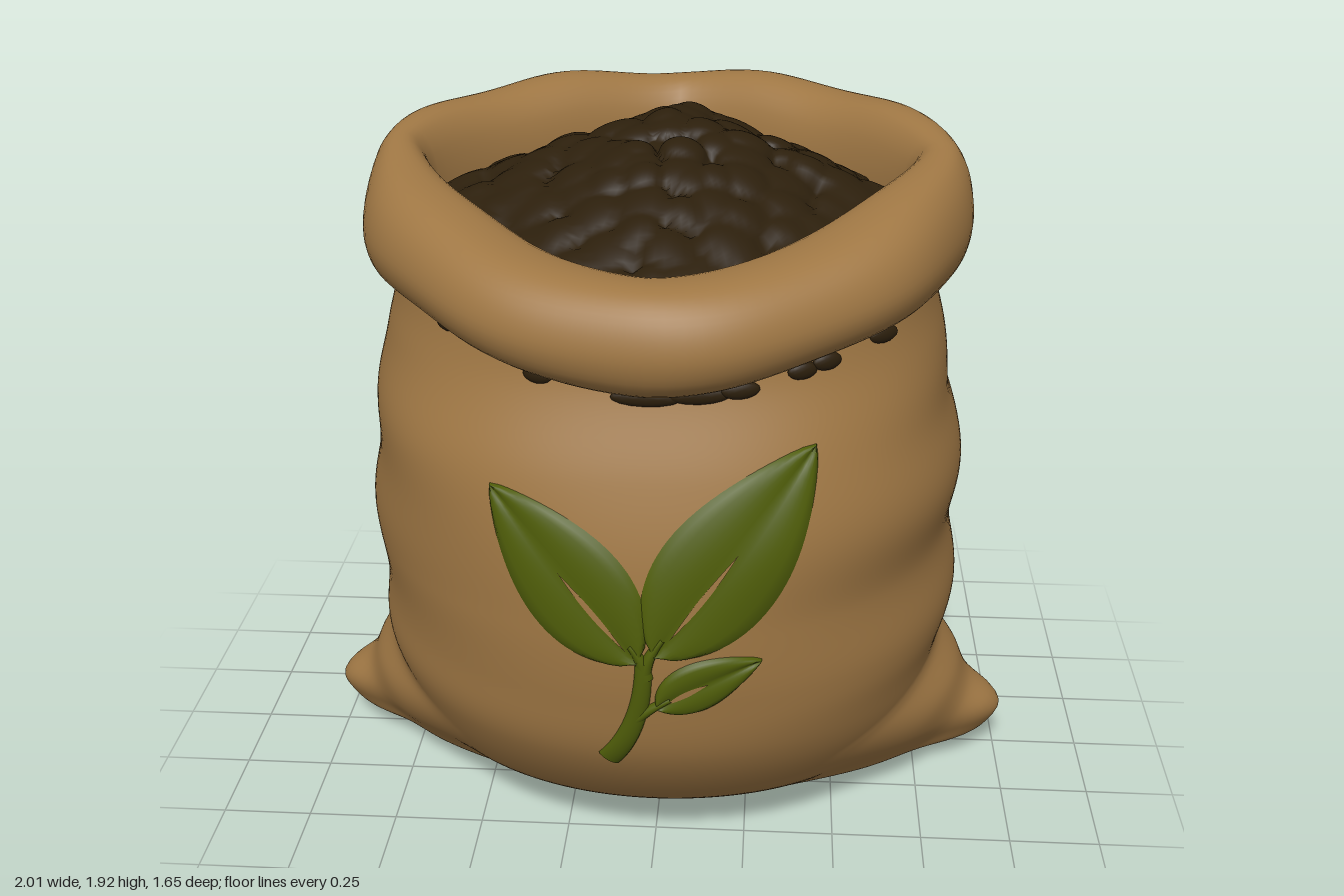
import * as THREE from 'three';

const TAU = Math.PI * 2;
const { smoothstep, lerp } = THREE.MathUtils;
const material = (name, color, side = THREE.FrontSide) => {
  const m = new THREE.MeshStandardMaterial({ color, side });
  m.name = name;
  return m;
};

// Smooth surface from a rule fn(u, v) -> [x, y, z]; wrapped directions share their seam.
function surface(fn, nu, nv, wrapU = true, wrapV = false) {
  const cols = wrapU ? nu : nu + 1, rows = wrapV ? nv : nv + 1;
  const pos = [], index = [];
  for (let j = 0; j < rows; j++)
    for (let i = 0; i < cols; i++) pos.push(...fn(i / nu, j / nv));
  for (let j = 0; j < nv; j++)
    for (let i = 0; i < nu; i++) {
      const i2 = (i + 1) % cols, j2 = (j + 1) % rows;
      const a = j * cols + i, b = j * cols + i2, c = j2 * cols + i2, d = j2 * cols + i;
      index.push(a, b, c, a, c, d);
    }
  const g = new THREE.BufferGeometry();
  g.setAttribute('position', new THREE.Float32BufferAttribute(pos, 3));
  g.setIndex(index);
  g.computeVertexNormals();
  return g;
}

// Smooth interpolation of a table row [key, value, value...]
function sample(table, key, col) {
  let k = 0;
  while (k < table.length - 2 && key > table[k + 1][0]) k++;
  const slope = i => {
    const a = table[Math.max(i - 1, 0)], b = table[Math.min(i + 1, table.length - 1)];
    return (b[col] - a[col]) / (b[0] - a[0]);
  };
  const p = table[k], q = table[k + 1], h = q[0] - p[0], t = (key - p[0]) / h;
  const t2 = t * t, t3 = t2 * t;
  return p[col] * (2 * t3 - 3 * t2 + 1) + slope(k) * h * (t3 - 2 * t2 + t)
    + q[col] * (3 * t2 - 2 * t3) + slope(k + 1) * h * (t3 - t2);
}

// Sack half-widths: height, x, z
const PROFILE = [
  [0, .5, .27], [.03, .6, .38], [.1, .67, .5], [.2, .73, .62], [.4, .8, .755], [.6, .825, .8],
  [.8, .825, .81], [1, .82, .79], [1.2, .795, .735], [1.4, .76, .655], [1.5, .735, .635], [1.6, .72, .63],
];
// Pulled-out bottom corner: distance from its tip, share of its length
const CORNER = [[0, 1], [.1, .97], [.23, .81], [.4, .51], [.67, .27], [.9, .05], [1, 0]];

// Point on the cloth at an angle from the front, with folds on the flanks and the two corners
function cloth(angle, y) {
  const s = Math.sin(angle), c = Math.cos(angle);
  const n = 2 + .4 * smoothstep(y, .8, 1.2);
  const fade = smoothstep(y, .3, .55) * (1 - smoothstep(y, 1.15, 1.45));
  const wave = Math.sin(15 * y + .9 * c + (s > 0 ? -1.6 : .94));
  const k = (Math.abs(s) ** n + Math.abs(c) ** n) ** (-1 / n) * (1 + .016 * s * s * fade * wave);
  const z = sample(PROFILE, y, 2) * k * c;
  const rise = y - .13, dy = rise > 0 ? rise / .32 : (-rise / .13) ** 3;
  const reach = .36 + .22 * smoothstep(y, .08, .33);
  const d = Math.min(1, Math.hypot((z - (s > 0 ? .02 : -.03)) / reach, dy));
  const pull = .305 * sample(CORNER, d, 1) * smoothstep(Math.abs(s), 0, .6);
  return [sample(PROFILE, y, 1) * k * s + Math.sign(s) * pull, y, z];
}

// Point on the front (side 1) or back (side -1) cloth at x, y, raised by lift
function onCloth(x, y, side, lift) {
  const at = a => cloth(side > 0 ? a : Math.PI - a, y);
  let lo = -Math.PI / 2, hi = Math.PI / 2;
  for (let i = 0; i < 24; i++) {
    const mid = (lo + hi) / 2;
    if (at(mid)[0] < x) lo = mid; else hi = mid;
  }
  return [x, y, at(lo)[2] + side * lift];
}

// Raised ribbon that follows a flat curve over the cloth
function ribbon(curve, width, lift, side, from = 0, to = 1) {
  return surface((u, v) => {
    const t = from + (to - from) * u, w = (2 * v - 1) * side;
    const p = curve.getPoint(t), d = curve.getTangent(t), r = width(u) * w;
    return onCloth(p.x - d.y * r, p.y + d.x * r, side, lift(Math.abs(w)));
  }, 28, 14, false);
}

// Cross-section of the rolled rim: fraction from inside to outside, fraction of height
const RIM = new THREE.CatmullRomCurve3([
  [.3, .08], [.5, 0], [.74, .06], [.92, .2], [1, .42], [.97, .64], [.87, .83], [.71, .96],
  [.5, 1], [.26, .96], [.08, .8], [0, .5], [.06, .2],
].map(([x, y]) => new THREE.Vector3(x, y, 0)), true);

// Diamond-like mouth radius
function mouth(angle) {
  const s = Math.abs(Math.sin(angle)) / .64, c = Math.abs(Math.cos(angle)) / .565, n = 1.33;
  return (s ** n + c ** n) ** (-1 / n);
}

function rimPoint(u, v) {
  const a = u * TAU, c = Math.cos(a), s = Math.sin(a), p = RIM.getPoint(v);
  const top = 1.855 - .095 * c - .055 * c * c + .012 * Math.sin(7 * a + 1) * (1 - c) / 2 + .015 * s * s;
  const bottom = 1.515 - .095 * Math.max(0, c) ** 4 + .008 * Math.sin(5 * a) * s * s;
  const outer = .808 + .008 * Math.cos(4 * a) + .006 * Math.sin(9 * a);
  const r = lerp(mouth(a), outer, p.x);
  return [r * s, bottom + (top - bottom) * p.y, r * c - .02 * (1 - p.x)];
}

// Rounded clods scattered on a jittered grid
const hash = (i, j, k) => {
  const n = Math.sin(i * 127.1 + j * 311.7 + k * 74.7) * 43758.5453;
  return n - Math.floor(n);
};
function clods(x, z) {
  const cell = .1, ci = Math.floor(x / cell), cj = Math.floor(z / cell);
  let h = 0;
  for (let i = ci - 1; i <= ci + 1; i++)
    for (let j = cj - 1; j <= cj + 1; j++) {
      const d = Math.hypot(x - (i + hash(i, j, 1)) * cell, z - (j + hash(i, j, 2)) * cell);
      const r = .065 + .03 * hash(i, j, 3);
      h = Math.max(h, (.6 + .4 * hash(i, j, 4)) * Math.sqrt(Math.max(0, 1 - (d / r) ** 2)));
    }
  return .045 * h;
}
function soilPoint(u, v) {
  const a = u * TAU, r = 1 - v, R = mouth(a) * 1.1 * r;
  const x = R * Math.sin(a), z = R * Math.cos(a) - .02;
  const peak = .045 * Math.exp(-((x - .04) ** 2 + (z + .24) ** 2) / .025);
  return [x, 1.65 - .05 * z + .215 * (1 - r ** 1.6) + peak + clods(x, z), z];
}

export function createModel() {
  const group = new THREE.Group();
  const burlap = material('burlap', 0x9f7744);
  const soil = material('soil', 0x2c1f0c);
  const leafGreen = material('leafGreen', 0x4f5d09, THREE.DoubleSide);
  const vein = material('veinTan', 0x9f7745, THREE.DoubleSide);
  const add = (name, geometry, mat, parent = group) => {
    const mesh = new THREE.Mesh(geometry, mat);
    mesh.name = name;
    parent.add(mesh);
    return mesh;
  };

  // Sack with a flat closed base
  add('sackBody', surface((u, v) => {
    if (v === 0) return [0, 0, 0];
    const t = (v * 110 - 1) / 109;
    return cloth(u * TAU, 1.6 * t ** 1.4);
  }, 180, 110), burlap);
  add('rolledRim', surface(rimPoint, 112, 44, true, true), burlap);
  add('soilMound', surface(soilPoint, 128, 60), soil);

  // Soil crumbs caught under the front of the rim: x, y, half-length
  const crumbs = [[-.52, 1.525, .035], [-.28, 1.44, .04], [-.01, 1.4, .09], [.12, 1.407, .08],
    [.22, 1.418, .05], [.37, 1.455, .04], [.43, 1.47, .04], [.57, 1.505, .045]];
  for (const [x, y, r] of crumbs) {
    const crumb = add('soilCrumb', new THREE.IcosahedronGeometry(1, 2), soil);
    crumb.position.set(...onCloth(x, y, 1, .003));
    crumb.rotation.y = Math.atan2(x, .8);
    crumb.scale.set(r, .024, .016);
  }

  // Sprout emblem on front and back
  const bend = (...p) => new THREE.QuadraticBezierCurve(...p.map(([x, y]) => new THREE.Vector2(x, y)));
  const leaves = [
    ['bigLeaf', bend([.02, .76], [.2, 1.0], [.41, 1.28]), .168, .1],
    ['middleLeaf', bend([-.025, .74], [-.2, .95], [-.4, 1.17]), .148, .08],
    ['smallLeaf', bend([.025, .6], [.13, .675], [.29, .73]), .077, .1],
  ];
  const stems = [
    [bend([-.105, .41], [-.005, .55], [-.01, .74]), .034, .022],
    [bend([-.01, .69], [-.005, .75], [.04, .81]), .022, .01],
    [bend([-.005, .69], [-.01, .75], [-.045, .79]), .022, .01],
    [bend([-.03, .56], [.01, .6], [.06, .63]), .018, .01],
  ];
  for (const side of [1, -1]) {
    const sprout = new THREE.Group();
    sprout.name = side > 0 ? 'frontSprout' : 'backSprout';
    group.add(sprout);
    for (const [name, curve, w, start] of leaves) {
      add(name, ribbon(curve, t => w * Math.sin(Math.PI * t ** .8) ** .78 || 0,
        v => v > .99 ? -.004 : .007 + .008 * Math.sin(Math.PI * v), side), leafGreen, sprout);
      add('leafVein', ribbon(curve, t => .008 * Math.sin(Math.PI * t),
        () => .011, side, start, .55), vein, sprout);
    }
    for (const [curve, w0, w1] of stems)
      add('stem', ribbon(curve, t => lerp(w0, w1, t),
        v => -.004 + .02 * Math.sqrt(1 - Math.min(1, v * v)), side), leafGreen, sprout);
  }
  return group;
}
